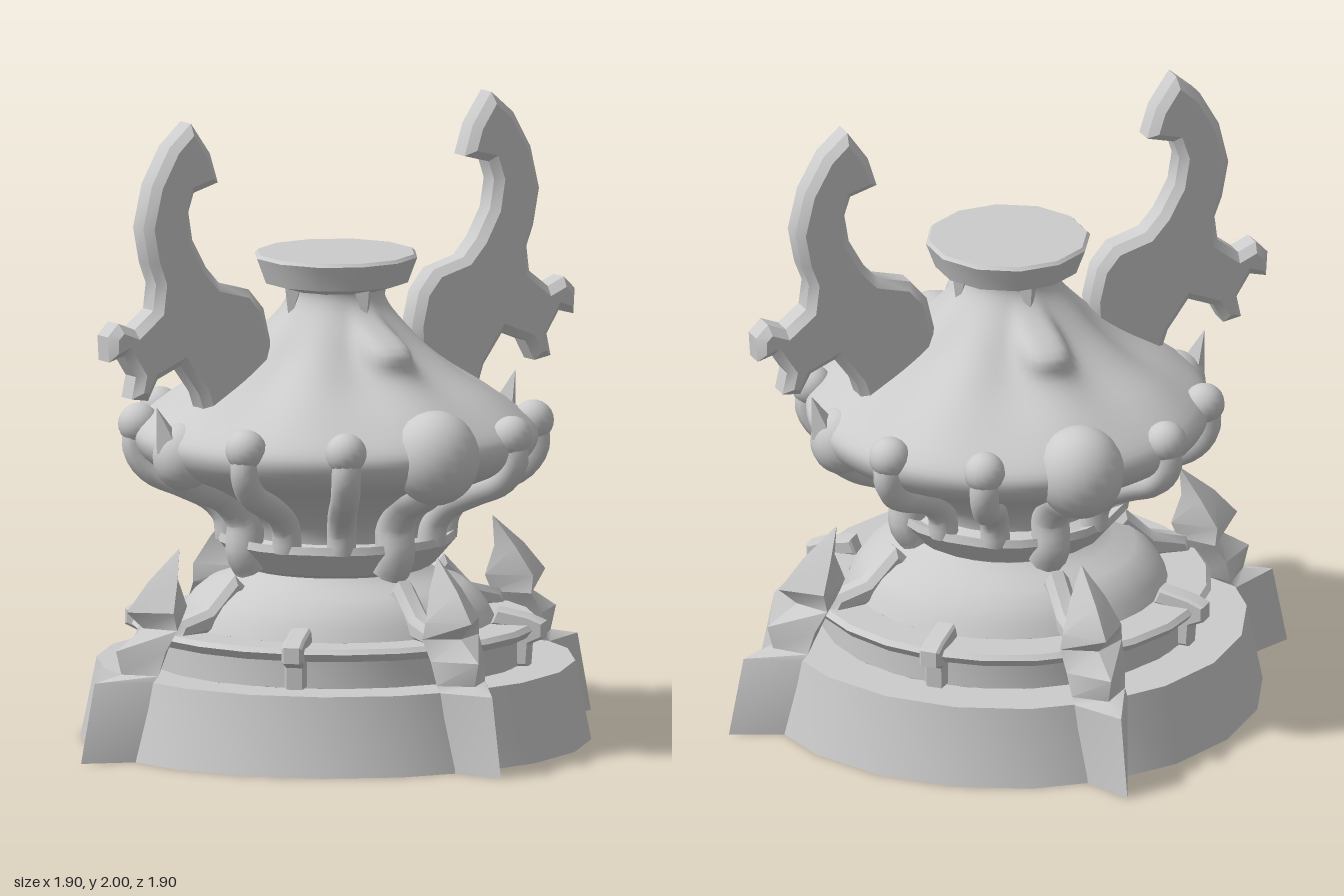
import * as THREE from 'three';
import { toCreasedNormals, mergeVertices } from 'three/addons/utils/BufferGeometryUtils.js';

const grey = new THREE.MeshStandardMaterial({ color: 0xcccccc, side: THREE.DoubleSide });
const flat = new THREE.MeshStandardMaterial({ color: 0xcccccc, side: THREE.DoubleSide, flatShading: true });
const v2 = (pts) => pts.map(([x, y]) => new THREE.Vector2(x, y));

function add(parent, name, geometry, material = grey) {
  const mesh = new THREE.Mesh(geometry, material);
  mesh.name = name;
  parent.add(mesh);
  return mesh;
}

// Turned part with sharp edges along its profile
function turned(pts, sides, crease = 0.5, turn = 0) {
  return toCreasedNormals(new THREE.LatheGeometry(v2(pts), sides, turn), crease);
}

// Flat outline in x, y with a bevelled rim, centred on z = 0
function plate(pts, depth, bevel) {
  const g = new THREE.ExtrudeGeometry(new THREE.Shape(v2(pts)), {
    depth, bevelEnabled: true, bevelThickness: bevel, bevelSize: bevel, bevelOffset: -bevel, bevelSegments: 1,
  });
  g.translate(0, 0, -depth / 2);
  return toCreasedNormals(g, 0.6);
}

// Group turned so that its local +x points outward at the given angle
function spoke(parent, name, angle) {
  const g = new THREE.Group();
  g.name = name;
  g.rotation.y = angle;
  parent.add(g);
  return g;
}

// Fluted vase body with a raised fold at front and back
function bodyGeometry() {
  const curve = new THREE.SplineCurve(v2([
    [0.29, 0.56], [0.30, 0.68], [0.36, 0.76], [0.47, 0.83], [0.58, 0.88], [0.63, 0.94], [0.62, 1.0],
    [0.52, 1.08], [0.39, 1.16], [0.3, 1.23], [0.23, 1.3], [0.17, 1.37], [0.15, 1.42], [0.16, 1.46],
  ]));
  const g = new THREE.LatheGeometry(curve.getPoints(48), 96);
  const p = g.attributes.position;
  for (let i = 0; i < p.count; i++) {
    const x = p.getX(i), y = p.getY(i), z = p.getZ(i), r = Math.hypot(x, z);
    const a = Math.atan2(x, Math.abs(z));
    const band = Math.exp(-(((y - 1.15) / 0.13) ** 2));
    const fold = 0.09 * Math.exp(-(((y - 1.27) / 0.06) ** 2)) * Math.exp(-((a / 0.28) ** 4));
    const k = (r + fold + 0.016 * band * Math.cos(8 * a)) / r;
    p.setXYZ(i, x * k, y, z * k);
  }
  g.deleteAttribute('normal');
  g.deleteAttribute('uv');
  const merged = mergeVertices(g, 1e-4);
  merged.computeVertexNormals();
  return merged;
}

// Claw lofted from diamond sections: [height, outer edge, side radius, inner edge, half width]
function clawGeometry() {
  const levels = [
    [0, 0.95, 0.78, 0.75, 0.07], [0.25, 0.90, 0.74, 0.70, 0.09], [0.27, 0.80, 0.72, 0.66, 0.09],
    [0.345, 0.82, 0.70, 0.62, 0.10], [0.41, 0.72, 0.66, 0.58, 0.105], [0.465, 0.78, 0.67, 0.555, 0.10],
    [0.555, 0.70, 0.63, 0.59, 0.06], [0.65, 0.585, 0.584, 0.583, 0.001],
  ];
  const pos = [], idx = [];
  levels.forEach(([y, o, s, i, w], n) => {
    pos.push(o, y, 0, s, y, -w, i, y, 0, s, y, w);
    if (n === 0) return;
    for (let k = 0; k < 4; k++) {
      const a = 4 * (n - 1) + k, b = 4 * (n - 1) + (k + 1) % 4;
      idx.push(a, b, b + 4, a, b + 4, a + 4);
    }
  });
  const g = new THREE.BufferGeometry();
  g.setAttribute('position', new THREE.Float32BufferAttribute(pos, 3));
  g.setIndex(idx);
  return toCreasedNormals(g, 0.6);
}

// Rib running from the shoulder down under the bowl
function ribGeometry(radius, pts) {
  const path = new THREE.CatmullRomCurve3(pts.map(([r, y]) => new THREE.Vector3(r, y, 0)));
  return new THREE.TubeGeometry(path, 20, radius, 10);
}

export function createModel() {
  const model = new THREE.Group();
  model.name = 'ornateUrn';

  // Stepped, hollow foot and dome
  add(model, 'basePlinth', turned([[0.8, 0], [0.75, 0.25], [0.59, 0.25]], 20, 0.5, Math.PI / 2));
  add(model, 'baseStep', turned([[0.59, 0.25], [0.59, 0.34], [0.62, 0.34], [0.64, 0.365], [0.625, 0.38], [0.5, 0.38]], 24));
  add(model, 'baseDome', turned([[0.5, 0.38], [0.48, 0.42], [0.45, 0.46], [0.40, 0.5], [0.33, 0.52], [0.29, 0.55]], 32, 0.9));
  add(model, 'collar', turned([[0.28, 0.55], [0.31, 0.56], [0.375, 0.635], [0.37, 0.66], [0.33, 0.645], [0.29, 0.66]], 20));

  // Body and lid
  add(model, 'body', bodyGeometry());
  add(model, 'lid', turned([[0.13, 1.42], [0.16, 1.43], [0.23, 1.45], [0.26, 1.53], [0.25, 1.54], [0, 1.54]], 12, 0.5, Math.PI / 12));

  // Ribs with knobs around the bowl
  for (let i = 0; i < 12; i++) {
    const s = spoke(model, 'rib', (i * Math.PI) / 6);
    const onAxis = i % 3 === 0, frontBack = i % 6 === 3;
    if (onAxis) {
      const [size, r, y] = frontBack ? [0.138, 0.575, 0.965] : [0.1, 0.565, 0.94];
      add(s, 'largeKnob', new THREE.SphereGeometry(size, 20, 14)).position.set(r, y, 0);
      s.children[0].scale.y = 1.08;
      add(s, 'largeRibStem', ribGeometry(0.062, [[0.58, 0.9], [0.51, 0.85], [0.4, 0.8], [0.34, 0.72], [0.34, 0.62], [0.31, 0.57]]));
    } else {
      add(s, 'knob', new THREE.SphereGeometry(0.065, 16, 12)).position.set(0.618, 1.0, 0);
      add(s, 'ribStem', ribGeometry(0.046, [[0.62, 1.0], [0.625, 0.92], [0.58, 0.855], [0.48, 0.81], [0.39, 0.765], [0.345, 0.71], [0.335, 0.64]]));
    }
  }

  // Claw feet, with an inner leaf leaning on the dome
  const claw = clawGeometry();
  const leaf = plate([[0.62, 0.36], [0.6, 0.42], [0.49, 0.45], [0.39, 0.55], [0.35, 0.51], [0.43, 0.38]], 0.04, 0.02);
  // Straps over the step and thorns under the lid
  const strap = plate([[0.57, 0.25], [0.62, 0.25], [0.625, 0.32], [0.67, 0.34], [0.67, 0.39], [0.62, 0.41], [0.52, 0.43], [0.5, 0.38], [0.57, 0.37]], 0.05, 0.008);
  const thorn = new THREE.ConeGeometry(0.035, 0.12, 4);
  for (let i = 0; i < 4; i++) {
    const a = (i * Math.PI) / 2;
    const foot = spoke(model, 'clawFoot', a);
    add(foot, 'claw', claw);
    add(foot, 'clawLeaf', leaf);
    add(spoke(model, 'strap', a + Math.PI / 4), 'strapBand', strap);
    const t = add(spoke(model, 'neckThorn', a), 'thorn', thorn, flat);
    t.position.set(0.165, 1.385, 0);
    t.rotation.z = Math.PI + 0.15;
  }

  // Horn handles on both sides
  const horn = plate([
    [0.56, 2.0], [0.64, 1.93], [0.705, 1.815], [0.737, 1.68], [0.715, 1.565], [0.69, 1.5], [0.70, 1.42],
    [0.77, 1.365], [0.83, 1.39], [0.87, 1.35], [0.865, 1.27], [0.81, 1.285], [0.765, 1.215], [0.78, 1.145],
    [0.72, 1.135], [0.685, 1.2], [0.6, 1.235], [0.53, 1.14], [0.5, 1.05], [0.36, 1.08], [0.27, 1.2],
    [0.265, 1.285], [0.29, 1.39], [0.345, 1.455], [0.455, 1.485], [0.505, 1.54], [0.555, 1.63], [0.57, 1.72],
    [0.55, 1.78], [0.46, 1.805], [0.49, 1.9],
  ].reverse(), 0.06, 0.025);
  for (const a of [0, Math.PI]) {
    const handle = spoke(model, 'hornHandle', a);
    add(handle, 'horn', horn);
    const barb = add(handle, 'shoulderBarb', new THREE.ConeGeometry(0.05, 0.14, 4), flat);
    barb.position.set(0.645, 1.04, 0);
    barb.rotation.z = -0.35;
  }
  return model;
}
